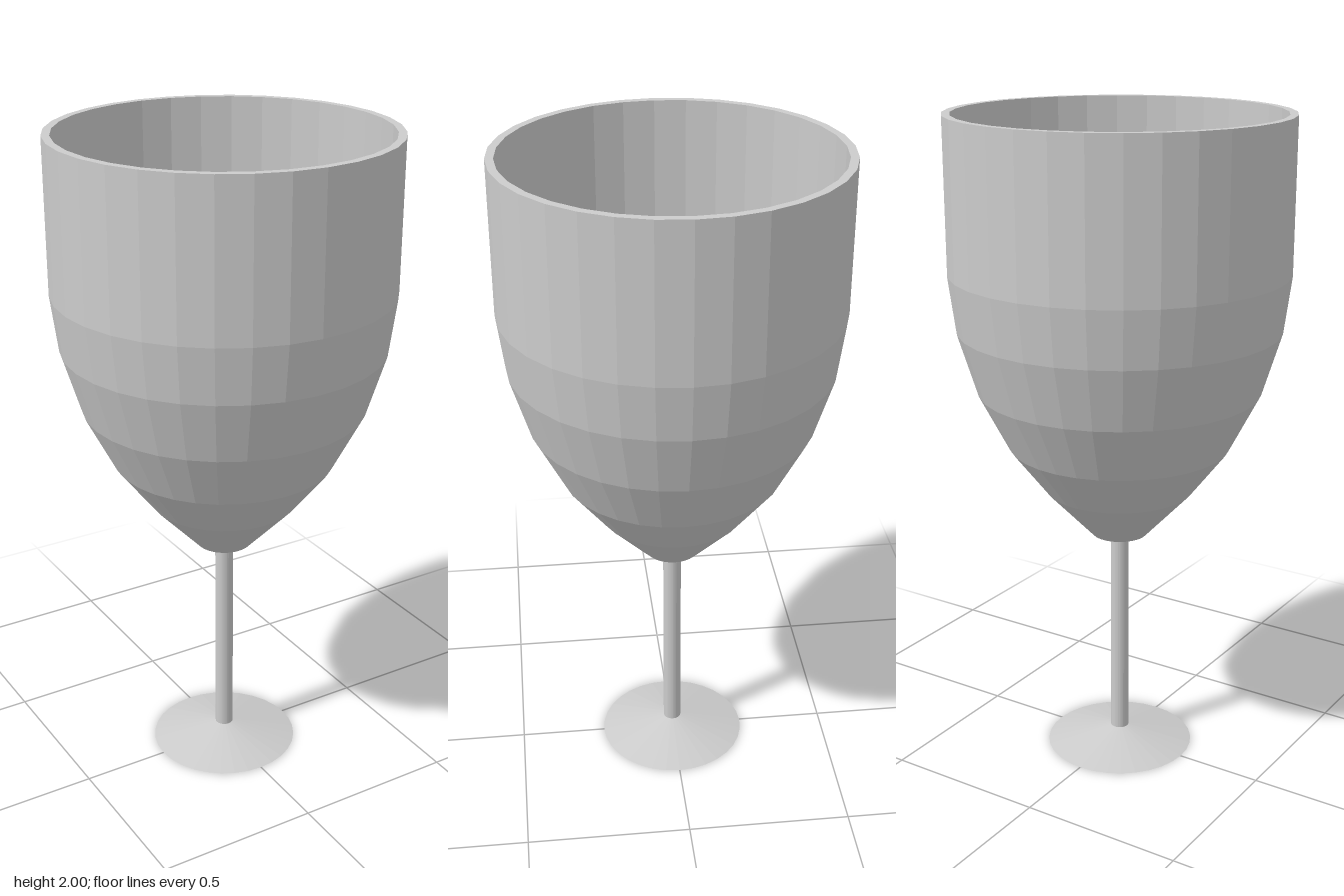
import * as THREE from 'three';

const SIDES = 32;

export function createModel() {
  const group = new THREE.Group();
  const material = new THREE.MeshStandardMaterial({ color: 0xcccccc, flatShading: true });

  // Revolves a [radius, height] profile around the vertical axis
  const turn = (name, profile) => {
    const points = profile.map(([r, y]) => new THREE.Vector2(r, y));
    const mesh = new THREE.Mesh(new THREE.LatheGeometry(points, SIDES), material);
    mesh.name = name;
    group.add(mesh);
  };

  // Bowl: faceted outside, flat rim, upright inner wall tapering to a flat floor
  turn('bowl', [
    [0, 0.72], [0.085, 0.72], [0.225, 0.868], [0.335, 1.01], [0.425, 1.185],
    [0.483, 1.375], [0.505, 1.545], [0.505, 2],
    [0.481, 2], [0.481, 1.545], [0.193, 0.87], [0, 0.87],
  ]);

  // Stem: thin rod between foot and bowl
  turn('stem', [[0.028, 0.045], [0.028, 0.72]]);

  // Foot: shallow cone with a flat underside
  turn('foot', [[0, 0], [0.23, 0], [0.028, 0.048]]);

  return group;
}
